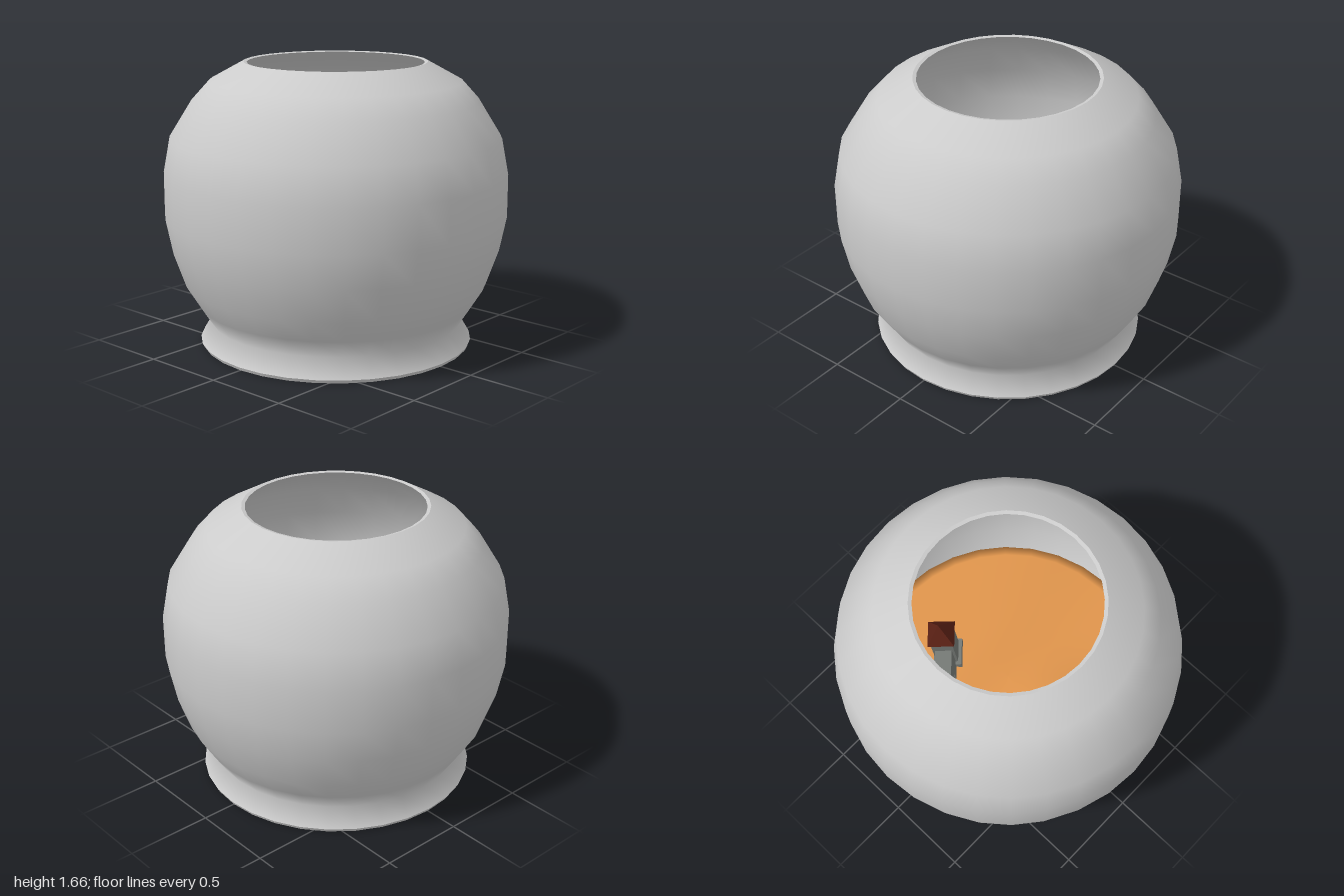
import * as THREE from 'three';

const SEGMENTS = 32;
const mat = (color, extra = {}) => new THREE.MeshStandardMaterial({ color, ...extra });

function add(parent, name, geometry, material, x = 0, y = 0, z = 0) {
  const mesh = new THREE.Mesh(geometry, material);
  mesh.name = name;
  mesh.position.set(x, y, z);
  parent.add(mesh);
  return mesh;
}

const lathe = (pts) =>
  new THREE.LatheGeometry(pts.map(([r, y]) => new THREE.Vector2(r, y)), SEGMENTS);

// Wavy sand: a shallow body following the bowl, with its top rings displaced
function sandGeometry() {
  const rim = 0.885, level = 0.42, rings = 16;
  const pts = [[0, 0.04], [0.74, 0.04], [0.7, 0.13], [0.78, 0.25], [rim, level]];
  for (let i = 1; i <= rings; i++) pts.push([rim * (1 - i / rings), level]);
  const geo = lathe(pts);
  const p = geo.attributes.position;
  for (let i = 0; i < p.count; i++) {
    if (p.getY(i) < level - 0.001) continue;
    const x = p.getX(i), z = p.getZ(i);
    const fade = 1 - (x * x + z * z) / (rim * rim);
    const ridge = 0.06 * Math.exp(-((z + 0.3) ** 2) / 0.06);
    const mound = 0.1 * Math.exp(-((x - 0.05) ** 2 + (z - 0.45) ** 2) / 0.08);
    p.setY(i, level + fade * (ridge + mound));
  }
  geo.computeVertexNormals();
  return geo;
}

// Small ruin: two roofed towers joined by a wall with an arched gate
function buildCastle() {
  const castle = new THREE.Group();
  castle.name = 'castle';
  const stone = mat(0x747874, { flatShading: true });
  const roofMat = mat(0x5a2014, { flatShading: true });

  for (const side of [-1, 1]) {
    const tower = new THREE.Group();
    tower.name = side < 0 ? 'rightTower' : 'leftTower';
    tower.position.x = side * 0.23;
    castle.add(tower);
    add(tower, 'towerBase', new THREE.BoxGeometry(0.17, 0.12, 0.17), stone, 0, 0.02, 0);
    add(tower, 'towerShaft', new THREE.BoxGeometry(0.13, 0.38, 0.13), stone, 0, 0.19, 0);
    const roof = new THREE.ConeGeometry(0.16 * Math.SQRT1_2, 0.14, 4).rotateY(Math.PI / 4);
    add(tower, 'towerRoof', roof, roofMat, 0, 0.45, 0);
  }

  const shape = new THREE.Shape();
  shape.moveTo(-0.18, -0.04).lineTo(-0.07, -0.04).lineTo(-0.07, 0.1);
  shape.absarc(0, 0.1, 0.07, Math.PI, 0, true);
  shape.lineTo(0.07, -0.04).lineTo(0.18, -0.04).lineTo(0.18, 0.27).lineTo(-0.18, 0.27);
  const wall = new THREE.ExtrudeGeometry(shape, { depth: 0.1, bevelEnabled: false });
  add(castle, 'gateWall', wall, stone, 0, 0, -0.05);
  return castle;
}

export function createModel() {
  const model = new THREE.Group();
  const glass = mat(0xcccccc, { side: THREE.DoubleSide });

  // Bowl: foot, waist and belly outside, thin rim, matching wall inside
  const profile = [
    [0.805, 0.02], [0.74, 0.13], [0.81, 0.24], [0.89, 0.37], [0.96, 0.57], [1.0, 0.77],
    [1.0, 1.02], [0.96, 1.23], [0.83, 1.44], [0.73, 1.55], [0.53, 1.66],
  ];
  const inner = profile.map(([r, y]) => [r - 0.02, y]).reverse();
  inner[0] = [0.51, 1.655];
  const bowl = new THREE.Group();
  bowl.name = 'bowl';
  model.add(bowl);
  add(bowl, 'outerWall', lathe(profile), glass);
  add(bowl, 'rim', lathe([[0.53, 1.66], [0.51, 1.655]]), glass);
  add(bowl, 'innerWall', lathe([...inner, [0, 0.02]]), glass);
  add(bowl, 'footEdge', lathe([[0.795, 0], [0.805, 0.02]]), glass);
  add(bowl, 'footBottom', lathe([[0, 0], [0.795, 0]]), glass);

  add(model, 'sand', sandGeometry(), mat(0xe0954c));

  // Castle stands at the back right, turned to the middle and leaning back a little
  const castle = buildCastle();
  castle.position.set(-0.32, 0.43, -0.2);
  castle.rotation.set(-0.09, Math.PI * 0.24, 0, 'YXZ');
  model.add(castle);

  return model;
}
